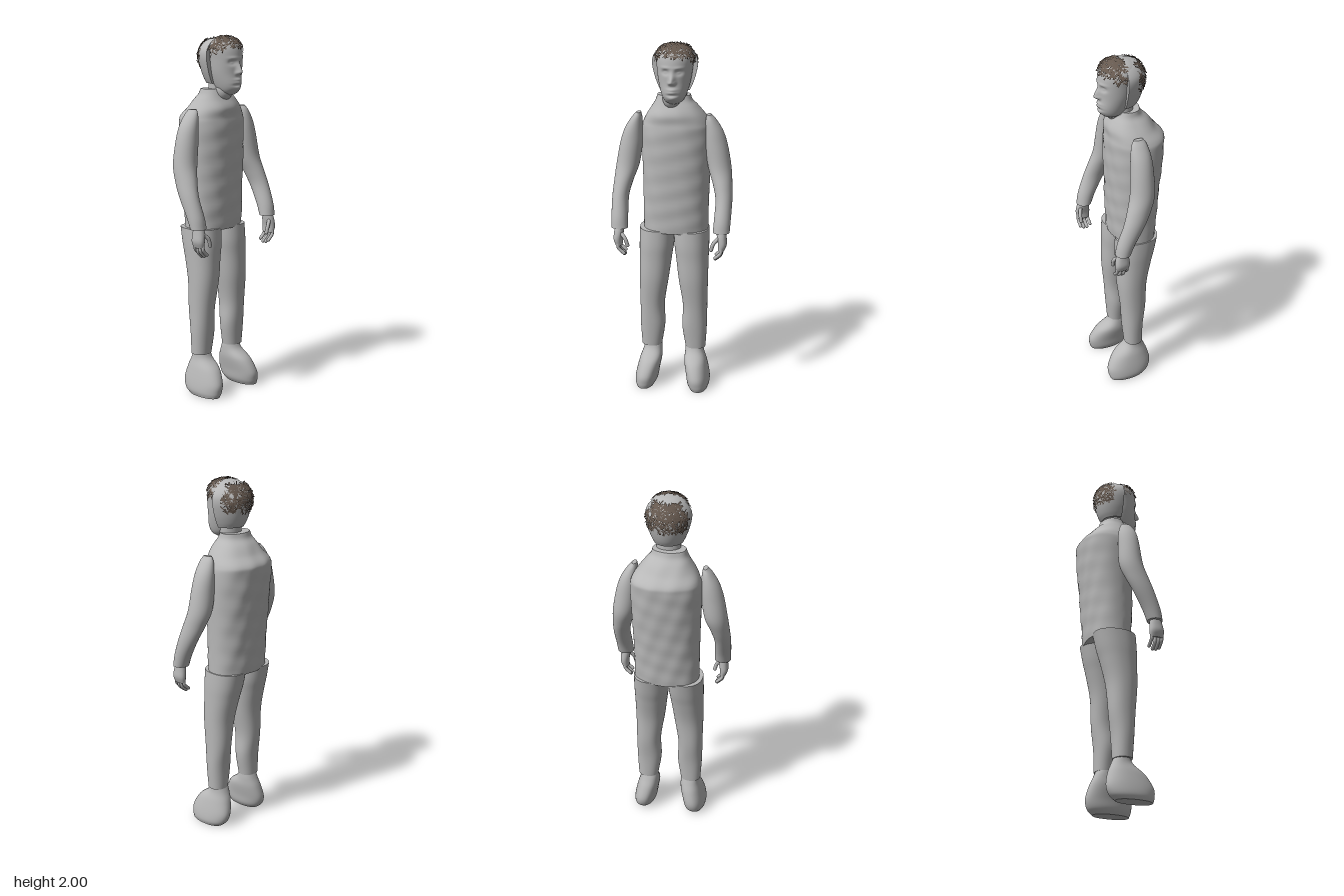
import * as THREE from 'three';

const grey = new THREE.MeshStandardMaterial({ color: 0xb8b8b8 });
grey.name = 'plain grey';
const brown = new THREE.MeshStandardMaterial({ color: 0x66594f, side: THREE.DoubleSide });
brown.name = 'hair brown';

// Smooth surface through horizontal rings [y, centreX, centreZ, halfX, halfZ], listed upwards.
// side = -1 mirrors it, power squares the section, arc limits the sweep.
function surface(rings, { side = 1, power = 2, deform = null } = {}) {
  const mid = new THREE.CatmullRomCurve3(
    rings.map(([y, x, z]) => new THREE.Vector3(x * side, y, z)), false, 'catmullrom', 0.5);
  const half = new THREE.CatmullRomCurve3(
    rings.map(r => new THREE.Vector3(r[3], r[4], 0)), false, 'catmullrom', 0.5);
  const bend = c => Math.sign(c) * Math.abs(c) ** (2 / power);
  return (t, a) => {
    const c = mid.getPoint(t), h = half.getPoint(t);
    const p = new THREE.Vector3(c.x + h.x * bend(Math.cos(a)), c.y, c.z + h.y * bend(Math.sin(a)));
    if (deform) deform(p, a);
    return p;
  };
}

function mesh(name, geometry, material = grey) {
  const m = new THREE.Mesh(geometry, material);
  m.name = name;
  return m;
}

// Skin a surface with smooth walls and flat ends
function loft(name, surf, rows = 32, cols = 40, start = 0, sweep = Math.PI * 2) {
  const pos = [], index = [], n = cols + 1;
  const closed = sweep > 6.28;
  const wrap = i => (closed ? i % cols : i);
  for (let r = 0; r <= rows; r++)
    for (let i = 0; i < n; i++) pos.push(...surf(r / rows, start + sweep * i / cols).toArray());
  for (let r = 0; r < rows; r++)
    for (let i = 0; i < cols; i++) {
      const a = r * n + wrap(i), b = r * n + wrap(i + 1);
      index.push(a, a + n, b, b, a + n, b + n);
    }
  for (const r of [0, rows]) {
    const base = pos.length / 3, c = new THREE.Vector3();
    for (let i = 0; i < n; i++) {
      const p = surf(r / rows, start + sweep * i / cols);
      pos.push(...p.toArray());
      c.addScaledVector(p, 1 / n);
    }
    pos.push(...c.toArray());
    for (let i = 0; i < cols; i++)
      index.push(base + n, base + i + (r ? 1 : 0), base + i + (r ? 0 : 1));
  }
  // Flat wall across a part sweep
  if (!closed) {
    const base = pos.length / 3;
    for (let r = 0; r <= rows; r++)
      for (const a of [start, start + sweep]) pos.push(...surf(r / rows, a).toArray());
    for (let r = 0; r < rows; r++) {
      const k = base + r * 2;
      index.push(k, k + 1, k + 2, k + 1, k + 3, k + 2);
    }
  }
  const g = new THREE.BufferGeometry();
  g.setAttribute('position', new THREE.Float32BufferAttribute(pos, 3));
  g.setIndex(index);
  g.computeVertexNormals();
  return mesh(name, g);
}

// Gentle cloth lumps
const lumps = p => {
  const k = Math.sin(p.y * 41 + p.x * 23) * Math.sin(p.x * 37 - p.y * 17) * 0.003;
  p.z += Math.sign(p.z) * k;
};

// Nose, eye sockets, lips and chin on the front of the head
function face(p, a) {
  if (Math.sin(a) <= 0.2) return;
  const bump = (x, y, wx, wy) => Math.exp(-(((p.x - 0.012 - x) / wx) ** 2) - ((p.y - y) / wy) ** 2);
  const y = p.y;
  const push = 0.03 * bump(0, 1.808, 0.015, y > 1.808 ? 0.036 : 0.013)
    + 0.009 * (bump(-0.014, 1.803, 0.008, 0.009) + bump(0.014, 1.803, 0.008, 0.009))
    - 0.014 * (bump(-0.036, 1.858, 0.019, 0.013) + bump(0.036, 1.858, 0.019, 0.013))
    + 0.007 * (bump(-0.036, 1.857, 0.012, 0.007) + bump(0.036, 1.857, 0.012, 0.007))
    + 0.004 * (bump(-0.035, 1.882, 0.026, 0.008) + bump(0.035, 1.882, 0.026, 0.008))
    + 0.008 * bump(0, 1.767, 0.025, 0.007) + 0.008 * bump(0, 1.752, 0.022, 0.007)
    - 0.006 * bump(0, 1.737, 0.03, 0.007) + 0.006 * bump(0, 1.718, 0.022, 0.015);
  p.z += push;
}

// Loose strands scattered over the part of a surface that keep() accepts
function hair(name, surf, centre, count, keep) {
  let seed = 7;
  const rnd = () => (seed = (seed * 16807) % 2147483647) / 2147483647;
  const pos = [];
  for (let made = 0, tries = 0; made < count && tries < 20000; tries++) {
    const t = 0.3 + 0.68 * rnd(), a = rnd() * Math.PI * 2;
    const p = surf(t, a);
    if (!keep(p)) continue;
    const n = p.clone().sub(centre).normalize();
    const along = new THREE.Vector3(rnd() - 0.5, rnd() - 0.5, rnd() - 0.5).projectOnPlane(n).normalize();
    const across = n.clone().cross(along).multiplyScalar(0.003 + 0.003 * rnd());
    const len = 0.012 + 0.014 * rnd();
    p.addScaledVector(n, 0.002 + 0.004 * rnd());
    const head = p.clone().addScaledVector(along, len), tail = p.clone().addScaledVector(along, -len);
    pos.push(...tail.clone().sub(across).toArray(), ...tail.add(across).toArray(), ...head.toArray());
    made++;
  }
  const g = new THREE.BufferGeometry();
  g.setAttribute('position', new THREE.Float32BufferAttribute(pos, 3));
  g.computeVertexNormals();
  return mesh(name, g, brown);
}

// Tapered rounded finger through three points
function finger(name, points, radius, side) {
  const curve = new THREE.CatmullRomCurve3(points.map(([x, y, z]) => new THREE.Vector3(x * side, y, z)));
  const g = new THREE.Group();
  g.name = name;
  g.add(mesh(name + 'Shaft', new THREE.TubeGeometry(curve, 10, radius, 10)));
  const tip = mesh(name + 'Tip', new THREE.SphereGeometry(radius, 10, 8));
  tip.position.copy(curve.getPoint(1));
  g.add(tip);
  return g;
}

export function createModel() {
  const model = new THREE.Group();
  model.name = 'standingMan';

  // Shirt body with a sloped collar
  model.add(loft('torso', surface([
    [0.94, 0.008, -0.022, 0.182, 0.122], [1.08, 0.008, -0.024, 0.183, 0.13],
    [1.23, 0.009, -0.028, 0.186, 0.138], [1.40, 0.01, -0.034, 0.192, 0.148],
    [1.52, 0.01, -0.038, 0.193, 0.152], [1.565, 0.01, -0.038, 0.182, 0.15],
    [1.61, 0.008, -0.016, 0.155, 0.128], [1.655, 0.004, -0.008, 0.122, 0.102],
    [1.685, 0.0, 0, 0.1, 0.08], [1.715, 0.0, 0, 0.09, 0.065],
  ], { power: 2.25, deform: lumps }), 60, 64));

  // Limbs
  for (const side of [1, -1]) {
    const label = side > 0 ? 'left' : 'right';
    model.add(loft(label + 'Leg', surface([
      [0.23, 0.128, 0.012, 0.058, 0.052], [0.36, 0.122, 0.015, 0.071, 0.06],
      [0.49, 0.124, 0.012, 0.07, 0.072], [0.65, 0.113, 0.015, 0.083, 0.085],
      [0.78, 0.105, 0.002, 0.092, 0.1], [0.86, 0.1, -0.008, 0.098, 0.112],
      [0.95, 0.097, -0.02, 0.099, 0.12],
    ], { side, power: 2.2 }), 40, 40));

    model.add(loft(label + 'Shoe', surface([
      [0, 0.157, 0.064, 0.052, 0.104], [0.03, 0.153, 0.053, 0.064, 0.124],
      [0.08, 0.146, 0.046, 0.065, 0.131], [0.15, 0.131, 0.034, 0.063, 0.104],
      [0.2, 0.123, 0.013, 0.054, 0.062], [0.24, 0.122, 0.01, 0.05, 0.042],
    ], { side, power: 2.2 }), 30, 40));

    model.add(loft(label + 'Arm', surface([
      [0.985, 0.283, 0.142, 0.046, 0.042], [1.05, 0.286, 0.122, 0.046, 0.05],
      [1.15, 0.288, 0.078, 0.046, 0.06], [1.23, 0.276, 0.045, 0.053, 0.066],
      [1.32, 0.256, 0.017, 0.064, 0.067], [1.44, 0.236, 0.012, 0.062, 0.062],
      [1.52, 0.222, 0.012, 0.05, 0.056], [1.58, 0.205, 0.014, 0.03, 0.044],
      [1.612, 0.194, 0.015, 0.013, 0.028],
    ], { side }), 44, 32));

    // Relaxed hand with curled fingers
    const hand = new THREE.Group();
    hand.name = label + 'Hand';
    hand.add(loft(label + 'Palm', surface([
      [0.885, 0.286, 0.148, 0.018, 0.036], [0.92, 0.292, 0.148, 0.024, 0.041],
      [0.96, 0.287, 0.147, 0.026, 0.037], [1.0, 0.283, 0.144, 0.026, 0.028],
    ], { side, power: 2.3 }), 12, 20));
    for (let i = 0; i < 4; i++) {
      const z = 0.12 + i * 0.0195, drop = [0.014, 0, 0.002, 0.012][i];
      hand.add(finger(label + 'Finger' + (i + 1),
        [[0.288, 0.9, z], [0.285, 0.862 + drop, z], [0.255, 0.832 + drop, z - 0.002]], 0.0095, side));
    }
    hand.add(finger(label + 'Thumb', [[0.275, 0.96, 0.165], [0.246, 0.93, 0.18], [0.233, 0.892, 0.18]], 0.0105, side));
    model.add(hand);
  }

  // Neck, with its rounded front showing below the chin
  model.add(loft('neck', surface([
    [1.62, 0.008, 0.028, 0.066, 0.056], [1.7, 0.008, 0.025, 0.066, 0.056], [1.78, 0.01, 0.025, 0.066, 0.056],
  ]), 8, 32));
  const throat = mesh('throat', new THREE.SphereGeometry(1, 28, 20));
  throat.scale.set(0.05, 0.058, 0.05);
  throat.position.set(-0.003, 1.706, 0.064);
  model.add(throat);

  // Face half of the head
  const faceSurface = surface([
    [1.683, 0.012, 0.092, 0.025, 0.025], [1.7, 0.012, 0.085, 0.05, 0.057],
    [1.735, 0.012, 0.073, 0.068, 0.088], [1.8, 0.012, 0.06, 0.086, 0.097],
    [1.87, 0.012, 0.05, 0.096, 0.11], [1.93, 0.012, 0.045, 0.102, 0.108],
    [1.968, 0.012, 0.045, 0.085, 0.09], [1.988, 0.012, 0.045, 0.052, 0.056],
    [1.996, 0.012, 0.045, 0.008, 0.008],
  ], { deform: face });
  model.add(loft('face', faceSurface, 110, 120));

  // Wider rear half of the head, cut flat in front
  const rearSurface = surface([
    [1.745, 0.01, 0.04, 0.08, 0.09], [1.775, 0.01, 0.04, 0.094, 0.107], [1.82, 0.01, 0.04, 0.11, 0.122],
    [1.88, 0.01, 0.04, 0.123, 0.134], [1.925, 0.01, 0.04, 0.118, 0.13], [1.965, 0.01, 0.04, 0.088, 0.105],
    [1.985, 0.01, 0.04, 0.05, 0.065], [1.992, 0.01, 0.04, 0.008, 0.01],
  ]);
  model.add(loft('backOfHead', rearSurface, 36, 40, Math.PI, Math.PI));

  // Patchy strands on both halves
  model.add(hair('frontHair', faceSurface, new THREE.Vector3(0.012, 1.87, 0.045), 420,
    p => p.z > 0.048 && p.y > 1.895 + 0.4 * Math.max(0, p.z - 0.05)));
  model.add(hair('backHair', rearSurface, new THREE.Vector3(0.01, 1.87, 0.04), 420,
    p => p.z < -0.022 && p.y > 1.835 && p.y < 1.975));

  return model;
}
